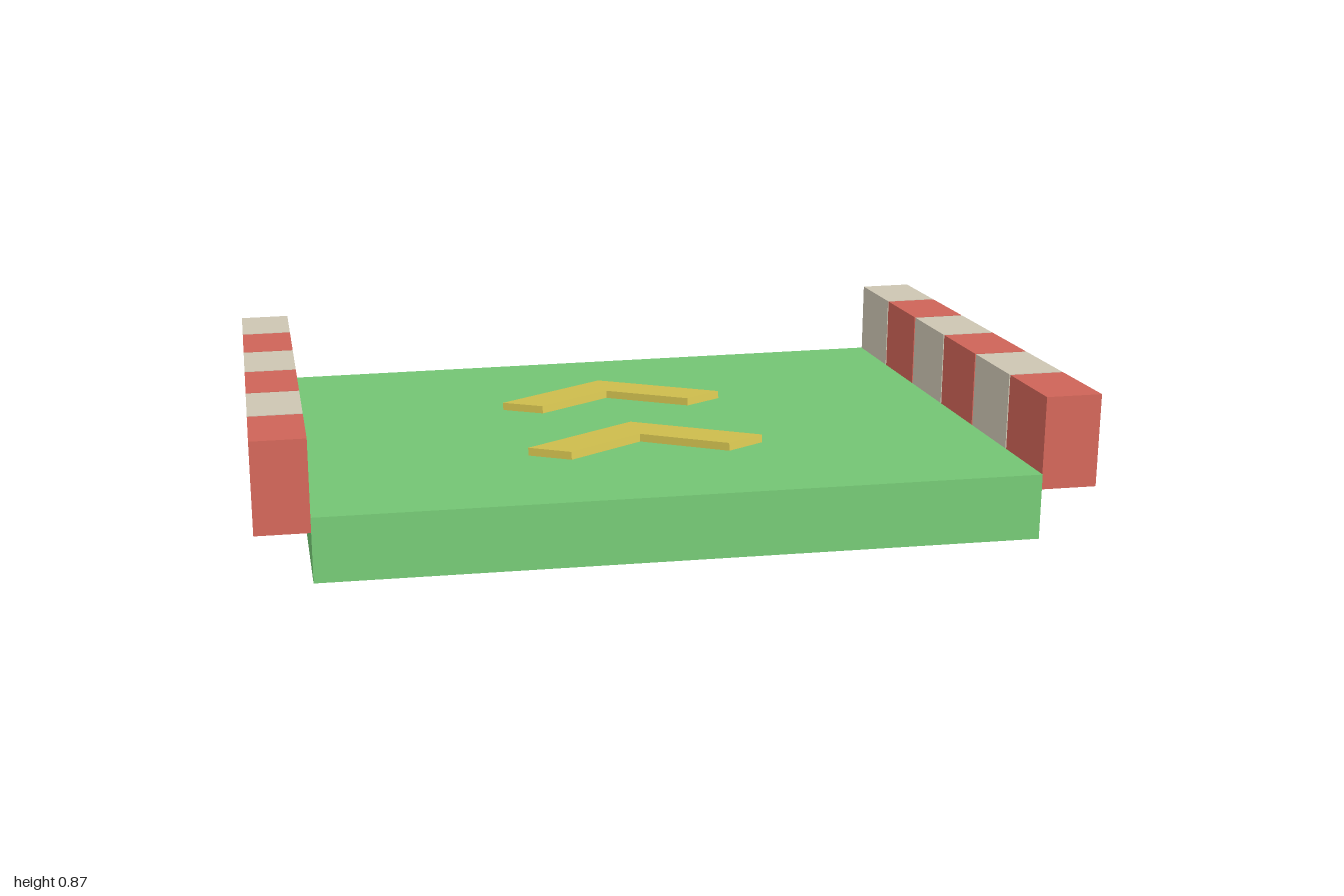
import * as THREE from 'three';

const SLOPE = 0.25;                       // rise per unit of z
const TILT = Math.atan(SLOPE);
const deckY = (z) => 0.42 + SLOPE * z;    // top surface of the deck

const material = (name, color) => {
  const m = new THREE.MeshStandardMaterial({ color });
  m.name = name;
  return m;
};

// Box between two z values whose top and bottom follow the slope; ends stay vertical
function slopedBox(name, mat, [x0, x1], [low, high], [z0, z1]) {
  const g = new THREE.BoxGeometry(x1 - x0, high - low, z1 - z0);
  g.translate((x0 + x1) / 2, (low + high) / 2, (z0 + z1) / 2);
  const p = g.attributes.position;
  for (let i = 0; i < p.count; i++) p.setY(i, p.getY(i) + 0.25 + SLOPE * p.getZ(i));
  g.computeVertexNormals();
  const mesh = new THREE.Mesh(g, mat);
  mesh.name = name;
  return mesh;
}

export function createModel() {
  const green = material('green', 0x7ad07a);
  const red = material('red', 0xda6a5d);
  const cream = material('cream', 0xd9d1bd);
  const yellow = material('yellow', 0xd8c651);

  const model = new THREE.Group();
  model.name = 'ramp';

  // Deck
  model.add(slopedBox('deck', green, [-0.867, 0.867], [0, 0.17], [-1, 1]));

  // Striped kerbs: six blocks on each side with narrow gaps
  for (const side of [-1, 1]) {
    const kerb = new THREE.Group();
    kerb.name = side > 0 ? 'leftKerb' : 'rightKerb';
    const xs = side > 0 ? [0.867, 1] : [-1, -0.867];
    for (let i = 0; i < 6; i++) {
      const z = -1 + i / 3;
      kerb.add(slopedBox('kerbBlock', i % 2 ? red : cream, xs, [0.13, 0.37], [z + 0.004, z + 1 / 3 - 0.004]));
    }
    model.add(kerb);
  }

  // Raised chevrons lying on the deck, pointing down the slope
  const outline = [[0, 0.185], [-0.3, -0.105], [-0.2, -0.195], [0, 0], [0.2, -0.195], [0.3, -0.105]];
  const shape = new THREE.Shape(outline.map(([x, y]) => new THREE.Vector2(x, y)));
  const chevron = new THREE.ExtrudeGeometry(shape, { depth: 0.02, bevelEnabled: false });
  chevron.rotateX(-Math.PI / 2 - TILT);
  for (const z of [-0.367, 0.303]) {
    const mesh = new THREE.Mesh(chevron, yellow);
    mesh.name = 'chevron';
    mesh.position.set(0, deckY(z), z);
    model.add(mesh);
  }
  return model;
}
